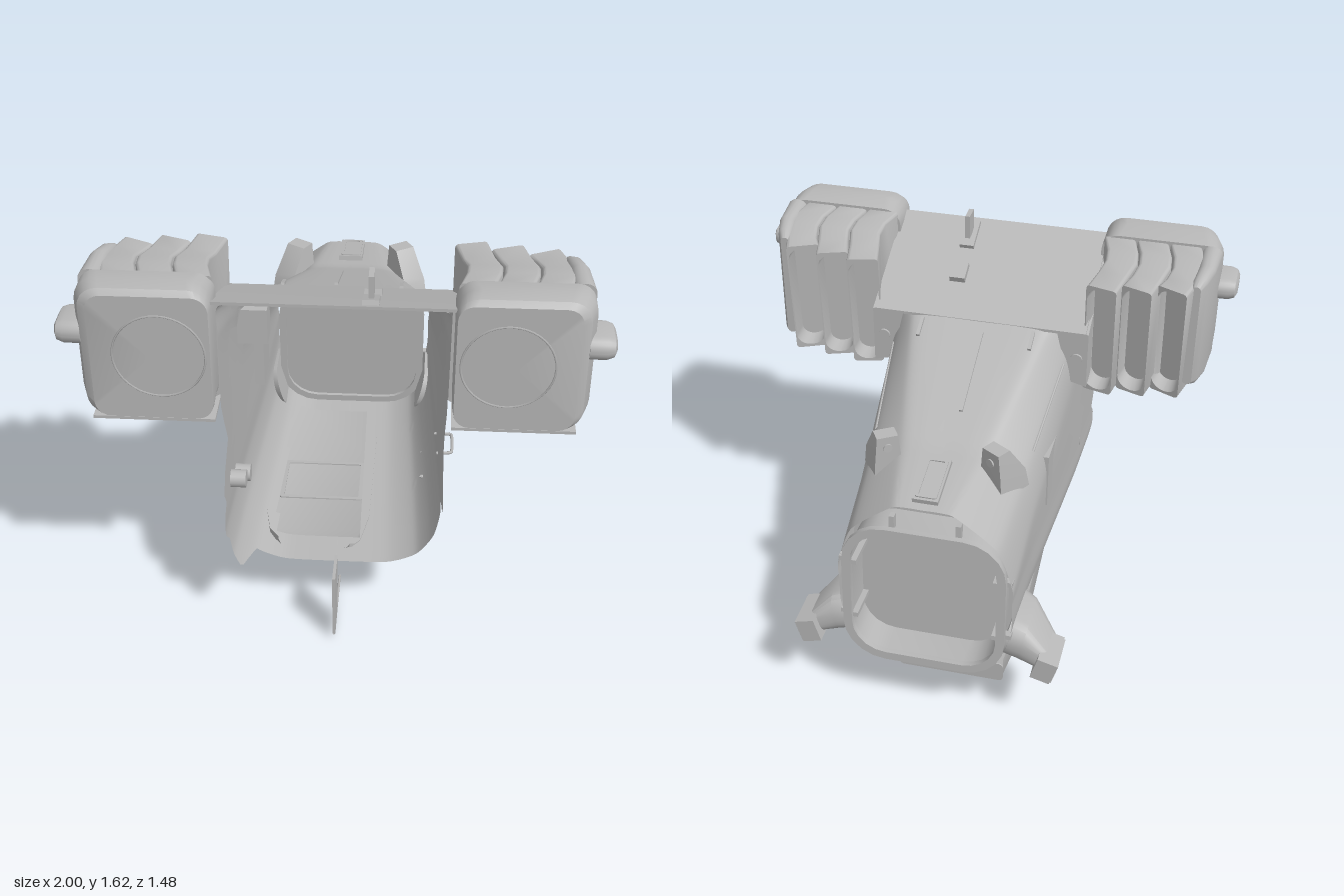
import * as THREE from 'three';
import { toCreasedNormals } from 'three/addons/utils/BufferGeometryUtils.js';

const hullGrey = new THREE.MeshStandardMaterial({ color: 0xb8b8b8, side: THREE.DoubleSide });
hullGrey.name = 'hull grey';

function add(parent, name, geo, pos = [0, 0, 0], rot = [0, 0, 0]) {
  const m = new THREE.Mesh(geo, hullGrey);
  m.name = name;
  m.position.set(...pos);
  m.rotation.set(...rot);
  parent.add(m);
}
const box = (w, h, d) => new THREE.BoxGeometry(w, h, d);

// Linear lookup in rows [key, a, b, ...] sorted by key
function lookup(rows, k) {
  if (k <= rows[0][0]) return rows[0].slice(1);
  for (let i = 1; i < rows.length; i++) {
    if (k <= rows[i][0]) {
      const a = rows[i - 1], b = rows[i], f = (k - a[0]) / (b[0] - a[0]);
      return a.slice(1).map((v, j) => v + (b[j + 1] - v) * f);
    }
  }
  return rows[rows.length - 1].slice(1);
}

// Skin over equal-length rings of [x, y, z]; skip(point) leaves holes
function loft(rings, { caps = true, closed = true, crease = 0.6, skip = () => false } = {}) {
  const n = rings[0].length, pos = rings.flat(2), idx = [];
  for (let i = 0; i < rings.length - 1; i++)
    for (let j = 0; j < (closed ? n : n - 1); j++) {
      if (skip(rings[i][j])) continue;
      const a = i * n + j, b = i * n + (j + 1) % n;
      idx.push(a, b, a + n, b, b + n, a + n);
    }
  if (caps) for (const [r, flip] of [[0, true], [rings.length - 1, false]]) {
    const c = [0, 1, 2].map(k => rings[r].reduce((s, p) => s + p[k], 0) / n), ci = pos.length / 3;
    pos.push(...c);
    for (let j = 0; j < n; j++) {
      const a = r * n + j, b = r * n + (j + 1) % n;
      idx.push(...(flip ? [ci, b, a] : [ci, a, b]));
    }
  }
  const g = new THREE.BufferGeometry();
  g.setAttribute('position', new THREE.Float32BufferAttribute(pos, 3));
  g.setIndex(idx);
  return toCreasedNormals(g, crease);
}

// Rounded rectangle ring across z, optionally skewed in z along x
function ring(x0, x1, y0, y1, r, z, skew = 0) {
  const pts = [], cx = (x0 + x1) / 2;
  [[x1 - r, y1 - r], [x0 + r, y1 - r], [x0 + r, y0 + r], [x1 - r, y0 + r]].forEach(([a, b], q) => {
    for (let i = 0; i <= 5; i++) {
      const t = (q + i / 5) * Math.PI / 2, x = a + r * Math.cos(t);
      pts.push([x, b + r * Math.sin(t), z - skew * (x - cx)]);
    }
  });
  return pts;
}
function frame(w, h, r, t, depth) {
  const pts = (a, b, c) => ring(-a, a, -b, b, c, 0).map(p => new THREE.Vector2(p[0], p[1]));
  const s = new THREE.Shape(pts(w, h, r));
  s.holes.push(new THREE.Path(pts(w - t, h - t, Math.max(r - t, 0.005))));
  return toCreasedNormals(new THREE.ExtrudeGeometry(s, { depth, bevelEnabled: false }), 0.6);
}
const tube = (pts, r) => new THREE.TubeGeometry(
  new THREE.CatmullRomCurve3(pts.map(p => new THREE.Vector3(...p)), false, 'catmullrom', 0.15), 30, r, 6);

// Hull stations: z, half width, shoulder height, roof half width, roof height
const stations = [
  [-0.69, 0.345, 0.73, 0.13, 1.05], [-0.36, 0.355, 0.84, 0.18, 1.105],
  [0.2, 0.39, 1.04, 0.28, 1.335], [0.45, 0.405, 1.2, 0.38, 1.445], [0.72, 0.415, 1.25, 0.41, 1.555],
];
const roofY = z => lookup(stations, z)[3];
function hullPoint(z, t) {
  const [w, ys, tw, top] = lookup(stations, z);
  const c = new THREE.CatmullRomCurve3([
    [0, 0.28], [0.5 * w, 0.285], [0.78 * w, 0.33], [0.94 * w, 0.42], [w, 0.53], [w, 0.65], [w, ys],
    [tw + (w - tw) * 0.72, ys + (top - ys) * 0.55], [tw, top - 0.015], [tw * 0.6, top], [0, top],
  ].map(([x, y]) => new THREE.Vector3(x, y, 0)), false, 'catmullrom', 0.35);
  return c.getPoint(t);
}
// Torn front edge: height, z
const tornLeft = [[0.28, 0.58], [0.6, 0.56], [0.63, 0.69], [0.69, 0.73], [0.76, 0.71], [0.82, 0.55],
  [0.93, 0.62], [1.04, 0.64], [1.08, 0.69], [1.5, 0.68]];
const tornRight = [[0.28, 0.58], [0.33, 0.58], [0.37, 0.74], [0.48, 0.7], [0.52, 0.735], [0.61, 0.735],
  [0.64, 0.68], [0.7, 0.72], [0.77, 0.74], [0.83, 0.56], [0.95, 0.62], [1.08, 0.69], [1.5, 0.68]];
// Floor opening into the belly pod
const floorHole = ([x, y, z]) => y < 0.33 && x > -0.25 && x < 0.07 && z > -0.5 && z < 0.4;

function buildHull(root) {
  for (const [s, torn] of [[1, tornLeft], [-1, tornRight]]) {
    const rings = [], N = 70, M = 34;
    for (let u = 0; u <= M; u++) {
      const row = [];
      for (let j = 0; j <= N; j++) {
        const end = lookup(torn, hullPoint(0.66, j / N).y)[0];
        const z = -0.69 + (end + 0.69) * u / M, p = hullPoint(z, j / N);
        row.push([s * p.x, p.y, z]);
      }
      rings.push(row);
    }
    add(root, s > 0 ? 'leftHullShell' : 'rightHullShell',
      loft(rings, { caps: false, closed: false, crease: 0.7, skip: floorHole }));
  }
  // Wide deck over the front of the hull
  const deck = [0.2, 0.45, 0.685].map(z => {
    const y = roofY(z) + 0.003;
    return [[-0.44, y - 0.012, z], [0.44, y - 0.012, z], [0.44, y, z], [-0.44, y, z]];
  });
  add(root, 'frontDeck', loft(deck));
  // Thin seams, raised hatch and fittings on the roof
  const tilt = Math.atan2(0.23, 0.56);
  for (const [x, z, len] of [[-0.025, -0.03, 0.38], [0.23, 0.14, 0.09], [-0.23, 0.14, 0.09]])
    add(root, 'roofSlot', box(0.014, 0.012, len), [x, roofY(z) + 0.004, z], [-tilt, 0, 0]);
  add(root, 'rearHatch', box(0.1, 0.02, 0.22), [0, 1.085, -0.55], [-0.18, 0, 0]);
  add(root, 'rearHatchFrame', frame(0.042, 0.1, 0.01, 0.012, 0.01), [0, 1.09, -0.55], [-Math.PI / 2 - 0.18, 0, 0]);
  add(root, 'roofBox', box(0.065, 0.04, 0.085), [0.13, roofY(0.4) + 0.01, 0.4], [-tilt, 0, 0]);
  add(root, 'antennaBase', box(0.06, 0.025, 0.14), [0.13, roofY(0.59) + 0.01, 0.59], [-tilt, 0, 0]);
  add(root, 'antennaBlade', box(0.02, 0.1, 0.07), [0.13, 1.57, 0.575]);
  // Interior fittings on the right wall
  add(root, 'upperWallBox', box(0.12, 0.15, 0.1), [-0.335, 1.235, 0.3]);
  add(root, 'wallPanel', box(0.04, 0.24, 0.18), [-0.355, 0.86, -0.08]);
  for (const [y, z] of [[0.7, 0.6], [0.63, 0.47]])
    add(root, 'wallKnob', new THREE.CylinderGeometry(0.035, 0.035, 0.06, 16), [-0.375, y, z], [0, 0, Math.PI / 2]);
  // Hand rails on the left side
  add(root, 'lowerHandle', tube([[0.33, 0.38, 0.13], [0.415, 0.32, 0.13], [0.42, 0.305, 0.11],
    [0.42, 0.305, -0.03], [0.415, 0.32, -0.045], [0.33, 0.38, -0.045]], 0.008));
  add(root, 'upperHandle', tube([[0.39, 0.63, 0.3], [0.45, 0.63, 0.29], [0.45, 0.63, 0.17], [0.38, 0.63, 0.165]], 0.007));
}

function buildRear(root) {
  // Recessed rear port with ribs, struts and a closing panel
  const port = new THREE.Group();
  port.name = 'rearPort';
  port.position.set(0, 0.615, -0.705);
  port.rotation.x = 0.06;
  root.add(port);
  add(port, 'portRim', frame(0.325, 0.32, 0.17, 0.035, 0.025), [0, 0, -0.015]);
  add(port, 'portTunnel', frame(0.305, 0.305, 0.15, 0.012, 0.17));
  add(port, 'portPanel', loft([0.15, 0.17].map(z => ring(-0.325, 0.325, -0.315, 0.335, 0.17, z))));
  add(port, 'panelFrame', frame(0.325, 0.325, 0.17, 0.03, 0.015), [0, 0.01, 0.17]);
  for (const s of [-1, 1]) for (const y of [-0.13, 0.13]) {
    add(port, 'portRib', box(0.03, 0.02, 0.15), [s * 0.285, y, 0.075]);
    add(port, 'portStrut', box(0.05, 0.02, 0.03), [s * 0.32, y, 0.03]);
  }
  for (const x of [-0.13, 0.13]) {
    add(port, 'portRib', box(0.02, 0.03, 0.15), [x, 0.285, 0.075]);
    add(port, 'portStrut', box(0.02, 0.07, 0.03), [x, 0.33, 0.03]);
  }
}

function buildBelly(root) {
  // Offset belly pod, open into the hull: z, bottom, x from, x to
  const rows = [[0.5, 0.275, -0.24, 0.05], [0.45, 0.235, -0.28, 0.09], [0.3, 0.205, -0.31, 0.12],
    [-0.3, 0.152, -0.33, 0.13], [-0.665, 0.21, -0.31, 0.12]];
  add(root, 'bellyPod', loft(rows.map(([z, b, x0, x1]) => [[x0, 0.33, z], [x0, b + 0.04, z], [x0 + 0.01, b + 0.012, z],
    [x0 + 0.035, b, z], [x1 - 0.035, b, z], [x1 - 0.01, b + 0.012, z], [x1, b + 0.03, z], [x1, 0.285, z]]),
  { closed: false, caps: false }));
  add(root, 'bellyRearWall', loft([-0.66, -0.665].map(z => ring(-0.31, 0.12, 0.21, 0.3, 0.02, z))));
  add(root, 'bellyPanelFrame', frame(0.18, 0.15, 0.01, 0.018, 0.008), [-0.1, 0.177, -0.08], [Math.PI / 2 - 0.09, 0, 0]);
  // Lower fin with trailing rod
  const fin = [[0.737, 0.03], [0.737, 0.32], [0.58, 0.31], [0.617, 0.035]];
  add(root, 'lowerFin', loft([-0.006, 0.006].map(x => fin.map(([z, y]) => [x, y, z]))));
  add(root, 'finRod', tube([[0, 0.03, 0.737], [0, 0.018, 0.55], [0, 0.006, 0.36]], 0.005));
}

// Everything repeated on both sides, built on the +x side
function buildSide(root, mirror) {
  const side = new THREE.Group();
  side.name = mirror > 0 ? 'leftSide' : 'rightSide';
  side.scale.x = mirror;
  root.add(side);

  // Engine front shell, face circle and bottom lip
  add(side, 'engineShell', loft([ring(0.435, 0.87, 1.075, 1.585, 0.06, 0.735), ring(0.43, 0.9, 1.07, 1.605, 0.08, 0.715),
    ring(0.43, 0.925, 1.07, 1.61, 0.09, 0.65), ring(0.43, 0.925, 1.07, 1.595, 0.07, 0.57)]));
  add(side, 'engineFaceRing', new THREE.TorusGeometry(0.168, 0.004, 4, 40), [0.62, 1.34, 0.735]);
  add(side, 'engineBottomLip', box(0.45, 0.012, 0.16), [0.655, 1.068, 0.655]);
  add(side, 'engineFairing', loft([ring(0.84, 0.925, 1.07, 1.595, 0.04, 0.57), ring(0.84, 0.912, 1.072, 1.59, 0.034, 0.42),
    ring(0.83, 0.89, 1.08, 1.575, 0.028, 0.34), ring(0.83, 0.868, 1.1, 1.555, 0.018, 0.3)]));
  // Three bowed exhaust ducts with tall rounded openings, leaning back at the top
  const lean = pts => pts.map(([x, y, z]) => [x, y, z + (1.55 - y) * 0.07]);
  [[0.5, 0.21, 0.25], [0.635, 0.235, 0.35], [0.77, 0.262, 0.45]].forEach(([x, zb, k]) => {
    const flat = (cx, y1, z) => ring(cx - 0.065, cx + 0.065, 1.06, y1, 0.015, z);
    const slot = (cx, z, inset) => lean(ring(cx - 0.061 + inset, cx + 0.061 - inset, 1.05 + inset, 1.545 - inset, 0.059 - inset, z, k));
    add(side, 'exhaustDuct', loft([flat(x + 0.005, 1.585, 0.575), flat(x + 0.03, 1.58, 0.48), flat(x + 0.035, 1.57, 0.41),
      lean(ring(x - 0.046, x + 0.076, 1.048, 1.555, 0.015, 0.33, 0.2)), lean(ring(x - 0.073, x + 0.051, 1.042, 1.55, 0.015, zb, k)),
      slot(x - 0.011, zb, 0.004), slot(x, zb + 0.08, 0.012)]));
  });
  // Side lamp
  add(side, 'lampPod', loft([[0.9, 0.092, 0.045], [0.965, 0.09, 0.045], [0.99, 0.08, 0.036], [1.0, 0.055, 0.02]]
    .map(([x, a, b]) => ring(-a, a, -b, b, b * 0.95, 0).map(([u, v]) => [x, 1.405 + v, 0.632 + u]))));
  // Engine mount beside the hull
  add(side, 'engineMount', loft([[0.21, 0.375, 0.32], [0.6, 0.418, 0.42]].map(([z, lower, upper]) => {
    const y = roofY(z) - 0.01;
    return [[lower, 1.1, z], [0.45, 1.08, z], [0.45, y, z], [upper, y, z]];
  })));
  add(side, 'mountHatch', new THREE.CylinderGeometry(0.025, 0.025, 0.012, 16), [0.405, 1.21, 0.207], [Math.PI / 2, 0, 0]);
  // Lower thruster arm, nozzle block and its grille
  const arm = [[0.29, -0.38, -0.68, 0.34, 0.52, 0.08], [0.36, -0.42, -0.69, 0.335, 0.5, 0.07],
    [0.48, -0.53, -0.69, 0.315, 0.395, 0.025]];
  add(side, 'thrusterArm', loft(arm.map(([x, z0, z1, y0, y1, r]) =>
    ring(z1, z0, y0, y1, r, 0).map(([z, y]) => [x + (y - y0) * 0.25, y, z]))));
  add(side, 'thrusterNozzle', box(0.08, 0.105, 0.17), [0.482, 0.358, -0.638], [0, 0, -0.28]);
  const grille = new THREE.Group();
  grille.name = 'thrusterGrille';
  grille.position.set(0.522, 0.347, -0.638);
  grille.rotation.z = -0.28;
  side.add(grille);
  for (let i = 0; i < 5; i++) add(grille, 'grilleBar', box(0.008, 0.006, 0.16), [0, -0.044 + i * 0.022, 0]);
  for (let i = 0; i < 9; i++) add(grille, 'grilleBar', box(0.008, 0.094, 0.006), [0, 0, -0.076 + i * 0.019]);
  // Upper thruster stub with a round port, seated on the sloping shoulder
  const stub = new THREE.Group();
  stub.name = 'upperThruster';
  stub.position.set(0.232, 0, -0.4);
  stub.rotation.y = 0.55;
  side.add(stub);
  const quad = (yIn, yOut, z0, z1, w) => [[-w, yIn, z0], [w, yOut, z0], [w, yOut, z1], [-w, yIn, z1]];
  add(stub, 'stubBody', loft([quad(1.06, 0.97, -0.055, 0.1, 0.055), quad(1.09, 1.06, -0.057, 0.08, 0.052),
    quad(1.18, 1.18, -0.06, 0.0, 0.042)]));
  add(stub, 'stubPort', new THREE.CylinderGeometry(0.018, 0.018, 0.01, 14), [0, 1.13, -0.06], [Math.PI / 2, 0, 0]);
  // Long seam along the hull shoulder
  const seam = [-0.22, -0.02, 0.18].map(z => {
    const p = hullPoint(z, 0.7);
    return [p.x, p.y, z];
  });
  add(side, 'shoulderSeam', tube(seam, 0.006));
}

export function createModel() {
  const root = new THREE.Group();
  root.name = 'shipHullSection';
  buildHull(root);
  buildRear(root);
  buildBelly(root);
  for (const s of [1, -1]) buildSide(root, s);
  return root;
}
